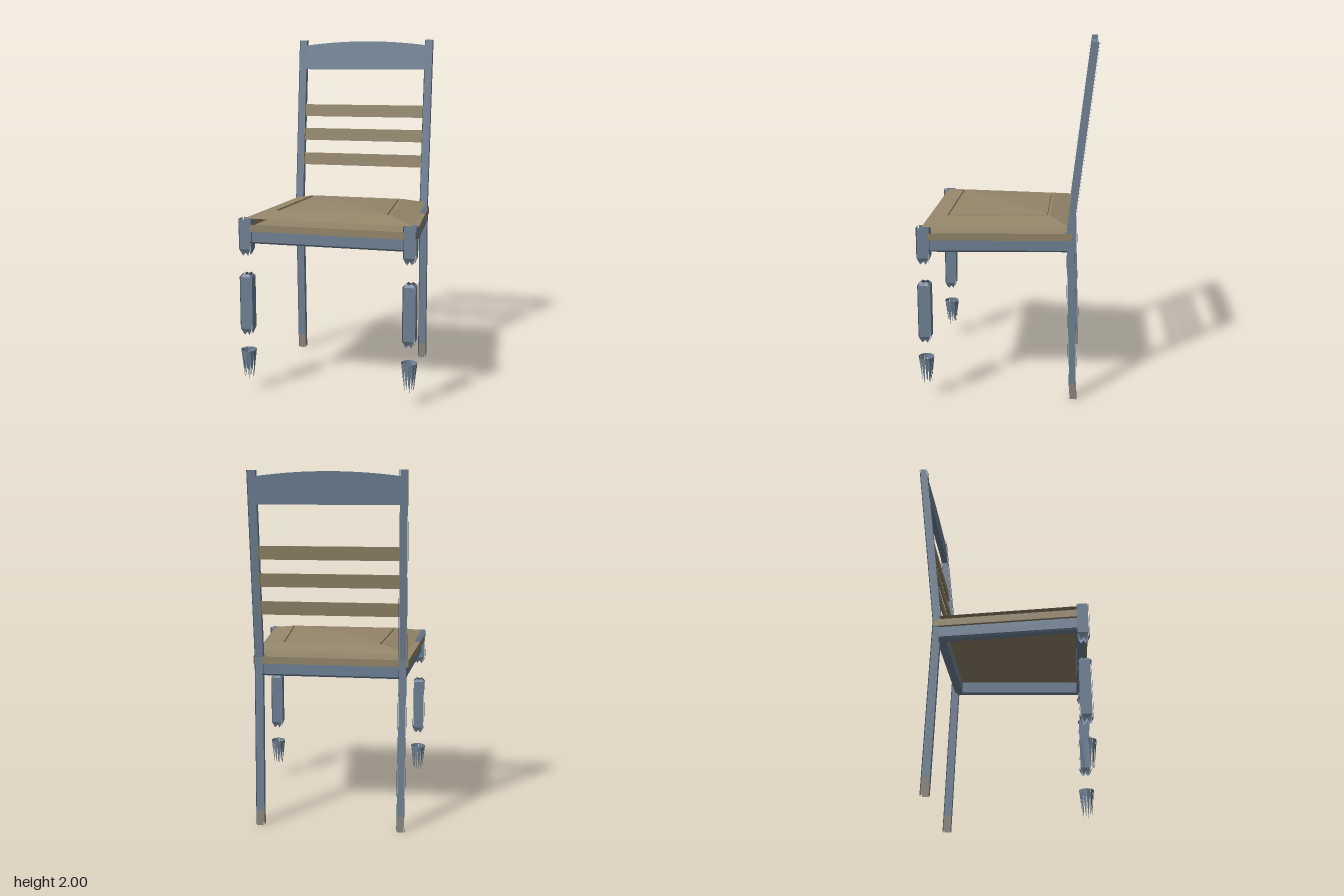
import * as THREE from 'three';

const mat = (name, color) => new THREE.MeshStandardMaterial({ name, color, side: THREE.DoubleSide });

// Flat polygons (each fanned from its first corner) as one geometry
function polyGeo(polys) {
  const pos = [];
  for (const p of polys)
    for (let i = 1; i < p.length - 1; i++) pos.push(...p[0], ...p[i], ...p[i + 1]);
  const g = new THREE.BufferGeometry();
  g.setAttribute('position', new THREE.Float32BufferAttribute(pos, 3));
  g.computeVertexNormals();
  return g;
}

// Trapezoid outline: half width and z at the back, then at the front
const trap = (xb, zb, xf, zf, y) => [[-xf, y, zf], [xf, y, zf], [xb, y, zb], [-xb, y, zb]];

// Quads joining successive four-cornered rings
function loft(rings) {
  const out = [];
  for (let r = 0; r < rings.length - 1; r++)
    for (let i = 0; i < 4; i++) {
      const j = (i + 1) % 4;
      out.push([rings[r][i], rings[r][j], rings[r + 1][j], rings[r + 1][i]]);
    }
  return out;
}

// Repeat polygons on four sides around the y axis
function fourSides(polys) {
  const out = [];
  for (let k = 0; k < 4; k++) {
    const c = Math.round(Math.cos(k * Math.PI / 2)), s = Math.round(Math.sin(k * Math.PI / 2));
    for (const p of polys) out.push(p.map(([x, y, z]) => [x * c + z * s, y, z * c - x * s]));
  }
  return out;
}

// Square leg block of open-cornered panels, with notched tapering ends
function legBlock(y0, y1, taperTop) {
  const h = 0.036, w = 0.03, t = 0.04;
  const end = (y, d) => [[0, y + d * 0.5, 0.026], [-0.014, y + d, 0.02], [-w, y, h], [w, y, h], [0.014, y + d, 0.02]];
  const a = y0 + t, b = taperTop ? y1 - t * 0.5 : y1;
  const polys = [[[-w, a, h], [w, a, h], [w, b, h], [-w, b, h]], end(a, -t)];
  if (taperTop) polys.push(end(b, t * 0.5));
  return polyGeo(fourSides(polys));
}

// Ring of spikes narrowing downward
function spikes() {
  const n = 12, polys = [];
  for (let i = 0; i < n; i++) {
    const at = (k, r, y) => [r * Math.cos(k * 2 * Math.PI / n), y, r * Math.sin(k * 2 * Math.PI / n)];
    polys.push([at(i, 0.045, 0.25), at(i + 0.5, 0.027, i % 2 ? 0.1 : 0.08), at(i + 1, 0.045, 0.25)]);
  }
  return polyGeo(polys);
}

// Four open-cornered panels following [y, z] stations
function postGeo(stations) {
  const h = 0.0235, w = 0.0185, polys = [];
  for (let i = 0; i < stations.length - 1; i++) {
    const [ya, za] = stations[i], [yb, zb] = stations[i + 1];
    const strip = (x0, z0, x1, z1) => polys.push(
      [[x0, ya, za + z0], [x1, ya, za + z1], [x1, yb, zb + z1], [x0, yb, zb + z0]]);
    strip(-w, h, w, h);
    strip(h, w, h, -w);
    strip(w, -h, -w, -h);
    strip(-h, -w, -h, w);
  }
  return polyGeo(polys);
}

// Lean the backrest parts along the upper posts
const leanZ = y => -0.347 - 0.1137 * (y - 0.98);
function lean(g) {
  const p = g.attributes.position;
  for (let i = 0; i < p.count; i++) p.setZ(i, p.getZ(i) + leanZ(p.getY(i)));
  g.computeVertexNormals();
  return g;
}

export function createModel() {
  const blue = mat('slate blue paint', 0x708296);
  const tan = mat('tan wood', 0x94866a);
  const grey = mat('grey foot', 0x8c8882);
  const root = new THREE.Group();
  root.name = 'chair';
  const add = (name, geo, m, parent = root) => {
    const mesh = new THREE.Mesh(geo, m);
    mesh.name = name;
    parent.add(mesh);
    return mesh;
  };

  // Legs, left and right
  for (const [side, s] of [['left', 1], ['right', -1]]) {
    const front = new THREE.Group();
    front.name = side + 'FrontLeg';
    front.position.set(s * 0.464, 0, 0.452);
    add('upperBlock', legBlock(0.80, 1.01, false), blue, front);
    add('middleBlock', legBlock(0.34, 0.70, true), blue, front);
    add('taperedFoot', spikes(), blue, front);
    root.add(front);

    const back = new THREE.Group();
    back.name = side + 'BackLeg';
    back.position.x = s * 0.401;
    add('post', postGeo([[0.09, -0.375], [0.98, -0.347], [2, leanZ(2)]]), blue, back);
    add('foot', postGeo([[0, -0.378], [0.09, -0.375]]), grey, back);
    root.add(back);
  }

  // Seat top: sloping border, shallow groove and low domed panel
  const midZ = 0.05;
  const panel = trap(0.265, -0.215, 0.307, 0.32, 1.042);
  const half = panel.map(([x, , z]) => [x * 0.5, 1.055, midZ + (z - midZ) * 0.5]);
  const peak = panel.map(() => [0, 1.06, midZ]);
  add('seatTop', polyGeo(loft([
    trap(0.413, -0.34, 0.475, 0.46, 1.01),
    trap(0.285, -0.235, 0.33, 0.34, 1.042),
    trap(0.283, -0.233, 0.328, 0.338, 1.034),
    trap(0.267, -0.217, 0.309, 0.322, 1.034),
    panel, half, peak,
  ])), tan);

  // Seat edge band and underside
  const low = trap(0.433, -0.36, 0.495, 0.48, 0.94);
  const high = trap(0.433, -0.36, 0.495, 0.48, 0.98);
  add('seatEdge', polyGeo(loft([low, high])), tan);
  add('seatUnderside', polyGeo([[...low].reverse()]), tan);

  // Rail frame below the seat
  const o = y => trap(0.42, -0.35, 0.48, 0.465, y);
  const inner = y => trap(0.37, -0.3, 0.425, 0.415, y);
  const bevel = trap(0.413, -0.343, 0.473, 0.458, 0.87);
  add('seatRails', polyGeo(loft([inner(0.938), inner(0.87), bevel, o(0.88), o(0.938)])), blue);

  // Backrest slats
  for (const y of [1.2575, 1.4125, 1.5625]) {
    const g = new THREE.BoxGeometry(0.78, 0.074, 0.013).translate(0, y, 0);
    add('backSlat', lean(g), tan);
  }

  // Arched top rail
  const arch = new THREE.Shape();
  arch.moveTo(-0.4, 1.82);
  arch.lineTo(0.4, 1.82);
  arch.lineTo(0.4, 1.965);
  arch.quadraticCurveTo(0, 2.02, -0.4, 1.965);
  const rail = new THREE.ExtrudeGeometry(arch, { depth: 0.036, bevelEnabled: false, curveSegments: 12 });
  add('topRail', lean(rail.translate(0, 0, -0.018)), blue);

  return root;
}
